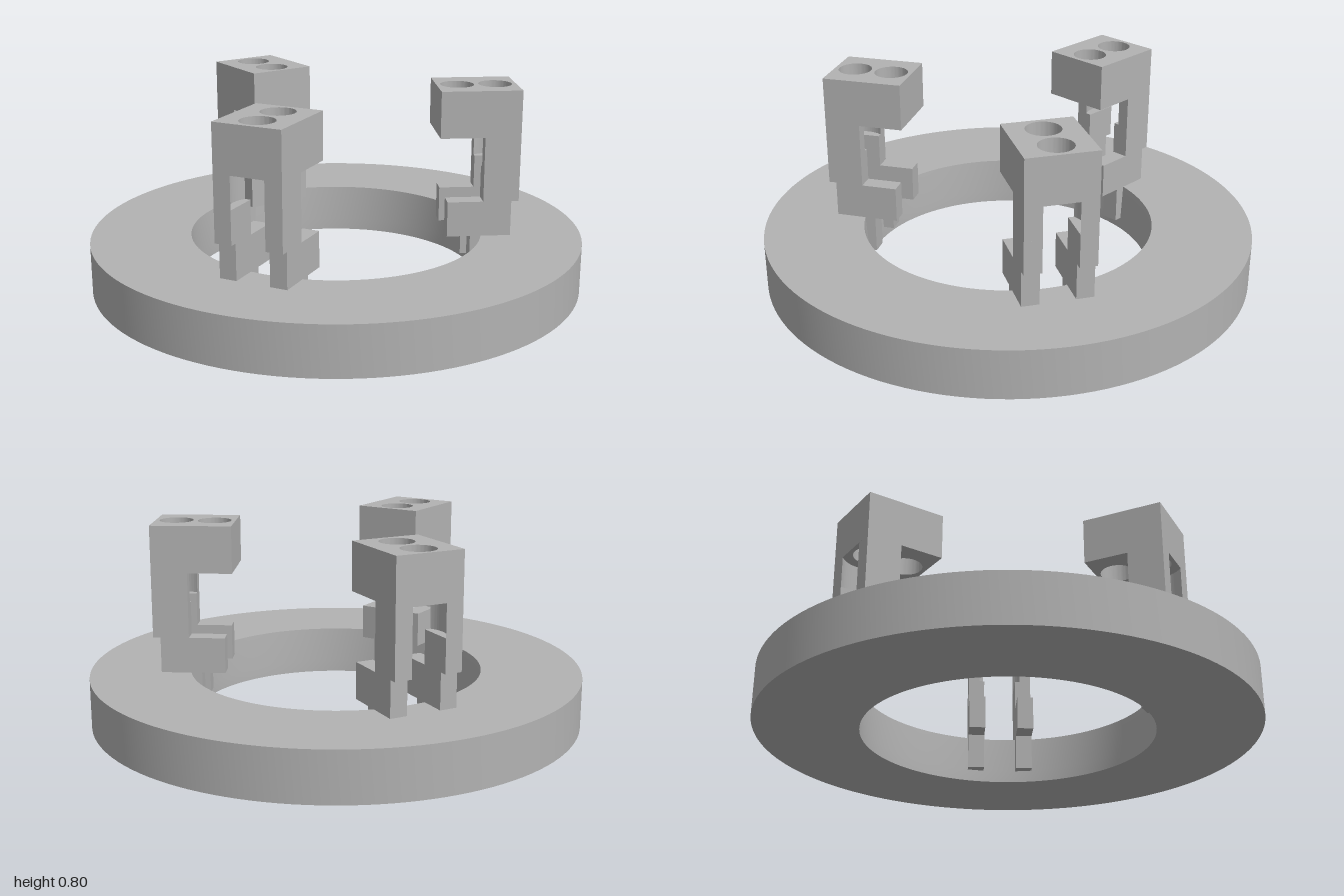
import * as THREE from 'three';
import { toCreasedNormals } from 'three/addons/utils/BufferGeometryUtils.js';

const grey = new THREE.MeshStandardMaterial({ color: 0xb2b2b2 });
grey.name = 'grey';

function part(name, geometry) {
  const mesh = new THREE.Mesh(geometry, grey);
  mesh.name = name;
  return mesh;
}

// Plan outline (x, z) raised from y = bottom by height
function raise(shape, bottom, height) {
  const g = new THREE.ExtrudeGeometry(shape, { depth: height, bevelEnabled: false, curveSegments: 32 });
  g.rotateX(-Math.PI / 2);
  g.translate(0, bottom, 0);
  return toCreasedNormals(g, 0.5);
}

function polygon(points) {
  return new THREE.Shape(points.map(([x, y]) => new THREE.Vector2(x, y)));
}

// Flat ring with a slightly tapered bore
function makeRing() {
  const profile = [
    [0.585, 0], [1, 0], [1, 0.2], [0.595, 0.2], [0.585, 0.05], [0.585, 0],
  ].map(([x, y]) => new THREE.Vector2(x, y));
  return part('baseRing', toCreasedNormals(new THREE.LatheGeometry(profile, 128), 0.5));
}

// One clamp, reaching out along +x
function makeClamp() {
  const clamp = new THREE.Group();
  clamp.name = 'clamp';
  const gap = 0.07, side = 0.14, inner = 0.585, outer = 0.73;

  // Head block with two through holes
  const head = polygon([[0.405, -side], [outer, -side], [outer, side], [0.405, side]]);
  for (const x of [0.49, 0.645]) {
    head.holes.push(new THREE.Path().absarc(x, 0, 0.068, 0, Math.PI * 2, true));
  }
  clamp.add(part('headBlock', raise(head, 0.61, 0.19)));

  // Upper legs, hollowed on the inside by a round screw pocket
  const pocketX = 0.645, pocketR = 0.11;
  const a0 = Math.atan2(gap, outer - pocketX);
  const a1 = Math.acos((inner - pocketX) / pocketR);
  const upper = new THREE.Shape();
  upper.moveTo(outer, side);
  upper.lineTo(inner, side);
  upper.lineTo(pocketX + pocketR * Math.cos(a1), pocketR * Math.sin(a1));
  upper.absarc(pocketX, 0, pocketR, a1, a0, true);
  upper.closePath();

  // Lower leg, foot and tongue that drops into the bore
  const lower = polygon([
    [0.535, 0.05], [0.585, 0.05], [0.585, 0.2], [0.7, 0.2], [0.7, 0.345], [outer, 0.345],
    [outer, 0.48], [inner, 0.48], [inner, 0.345], [0.44, 0.345], [0.44, 0.2], [0.535, 0.2],
  ]);

  for (const s of [1, -1]) {
    const leg = part('upperLeg', raise(upper, 0.48, 0.13));
    // A half turn about the pocket axis swaps ends, so mirror by scale instead
    leg.scale.z = s;
    clamp.add(leg);

    const g = new THREE.ExtrudeGeometry(lower, { depth: side - gap, bevelEnabled: false });
    g.translate(0, 0, s > 0 ? gap : -side);
    clamp.add(part('lowerLegAndFoot', g));
  }
  return clamp;
}

export function createModel() {
  const model = new THREE.Group();
  model.name = 'ringWithClamps';
  model.add(makeRing());
  for (let i = 0; i < 3; i++) {
    const clamp = makeClamp();
    clamp.rotation.y = (i * Math.PI * 2) / 3;
    model.add(clamp);
  }
  return model;
}
